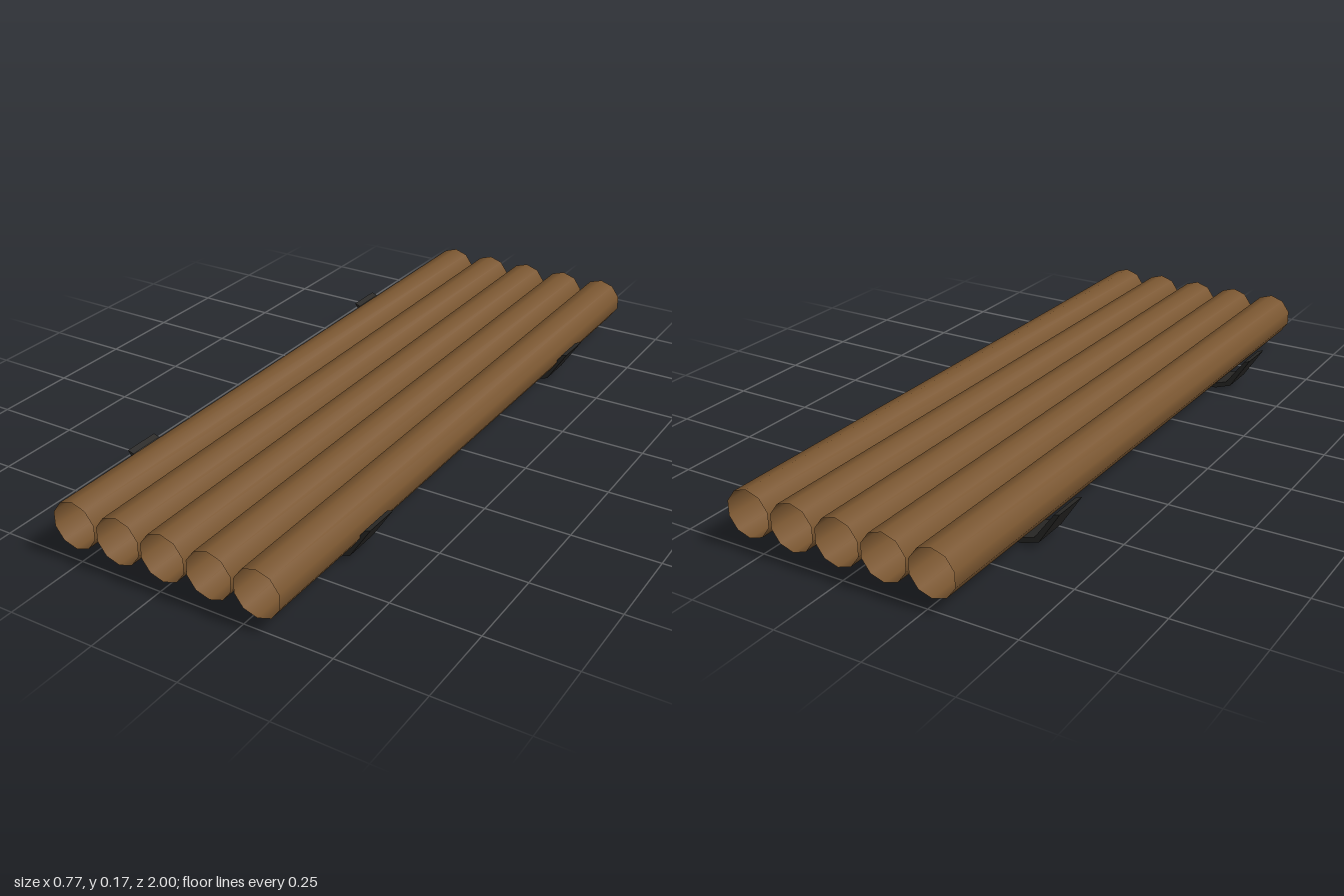
import * as THREE from 'three';

export function createModel() {
  const model = new THREE.Group();
  model.name = 'logBundle';
  const wood = new THREE.MeshStandardMaterial({ color: 0x7a5630, side: THREE.DoubleSide });
  const iron = new THREE.MeshStandardMaterial({ color: 0x2b2a28, flatShading: true });

  // Five hollow, open-ended logs lying side by side along z
  const logGeometry = new THREE.CylinderGeometry(0.068, 0.068, 2, 10, 1, true).rotateX(Math.PI / 2);
  for (let i = 0; i < 5; i++) {
    const log = new THREE.Mesh(logGeometry, wood);
    log.name = `log${i + 1}`;
    log.position.set(0.013 + (i - 2) * 0.139, 0.101, 0);
    model.add(log);
  }

  // Cradle strap: bent band with upturned ends, mirrored about x = 0
  const outer = [[0.275, 0], [0.325, 0.017], [0.386, 0.112]];
  const inner = [[0.368, 0.106], [0.311, 0.027], [0.264, 0.012]];
  const half = [...outer, ...inner];
  const mirrored = half.map(([x, y]) => [-x, y]).reverse();
  const profile = new THREE.Shape([...half, ...mirrored].map(([x, y]) => new THREE.Vector2(x, y)));
  const width = 0.11;
  const strapGeometry = new THREE.ExtrudeGeometry(profile, { depth: width, bevelEnabled: false });
  strapGeometry.translate(0, 0, -width / 2);
  for (const [name, z] of [['frontStrap', 0.595], ['backStrap', -0.57]]) {
    const strap = new THREE.Mesh(strapGeometry, iron);
    strap.name = name;
    strap.position.z = z;
    model.add(strap);
  }
  return model;
}
